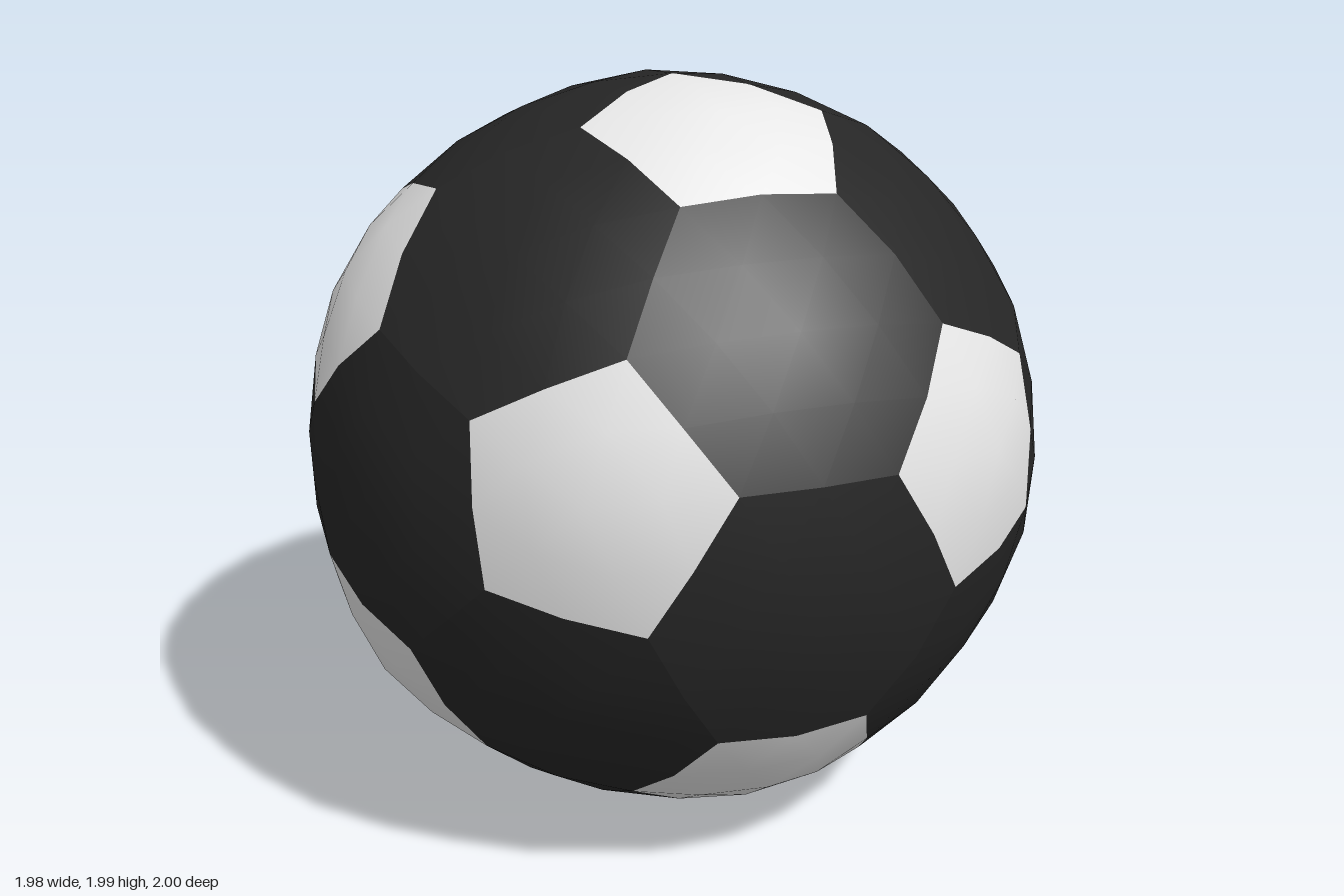
import * as THREE from 'three';
import { mergeVertices } from 'three/addons/utils/BufferGeometryUtils.js';

const CORNER_R = 0.997;   // radius at panel corners and seams
const PENT_R = 1.014;     // radius at the middle of a pentagon
const HEX_R = 0.987;      // radius at the middle of a hexagon
const STEPS = 2;          // subdivisions from panel middle to seam

// Twelve pentagon directions, turned so that one panel corner sits at the top pole
function pentagonDirections() {
  const up = new THREE.Vector3(0, 1, 0);
  const tilt = THREE.MathUtils.degToRad(20.077);
  const turn = THREE.MathUtils.degToRad(55.69);
  const first = new THREE.Vector3(
    Math.sin(tilt) * Math.cos(turn), Math.cos(tilt), Math.sin(tilt) * Math.sin(turn));
  const axis = first.clone().cross(up).normalize();
  const neighbour = first.clone().applyAxisAngle(axis, Math.atan(2));
  const half = [first];
  for (let k = 0; k < 5; k++) {
    half.push(neighbour.clone().applyAxisAngle(first, k * Math.PI * 2 / 5));
  }
  return [...half, ...half.map(v => v.clone().negate())];
}

// Panel corner: one third of the way from a towards b
const corner = (a, b) => a.clone().multiplyScalar(2).add(b).normalize();

// Sort corners counter-clockwise as seen from outside
function sortAround(centre, corners) {
  const u = corners[0].clone().addScaledVector(centre, -corners[0].dot(centre)).normalize();
  const v = centre.clone().cross(u);
  const angle = p => Math.atan2(p.dot(v), p.dot(u));
  return corners.slice().sort((p, q) => angle(p) - angle(q));
}

// Domed panel: a fan of subdivided triangles pushed out to the ball surface
function panelGeometry(centre, corners, centreR) {
  const ring = sortAround(centre, corners);
  const positions = [];
  ring.forEach((p, k) => {
    const q = ring[(k + 1) % ring.length];
    const point = (i, j) => {
      const s = i / STEPS;
      const t = i ? j / i : 0;
      const edge = p.clone().lerp(q, t);
      return centre.clone().lerp(edge, s).normalize()
        .multiplyScalar(THREE.MathUtils.lerp(centreR, CORNER_R, s));
    };
    const add = (...pts) => pts.forEach(v => positions.push(v.x, v.y, v.z));
    for (let i = 0; i < STEPS; i++) {
      for (let j = 0; j <= i; j++) {
        add(point(i, j), point(i + 1, j), point(i + 1, j + 1));
        if (j < i) add(point(i, j), point(i + 1, j + 1), point(i, j + 1));
      }
    }
  });
  let geometry = new THREE.BufferGeometry();
  geometry.setAttribute('position', new THREE.Float32BufferAttribute(positions, 3));
  geometry = mergeVertices(geometry, 1e-4);
  geometry.computeVertexNormals();
  return geometry;
}

export function createModel() {
  const white = new THREE.MeshStandardMaterial({ color: 0xf2f2f2 });
  white.name = 'white';
  const black = new THREE.MeshStandardMaterial({ color: 0x262626 });
  black.name = 'black';

  const ball = new THREE.Group();
  ball.name = 'ball';
  const addPanel = (name, centre, corners, radius, material) => {
    const mesh = new THREE.Mesh(panelGeometry(centre, corners, radius), material);
    mesh.name = name;
    ball.add(mesh);
  };

  const dirs = pentagonDirections();
  const near = (a, b) => a !== b && a.dot(b) > 0.4;

  // White pentagons
  for (const a of dirs) {
    const corners = dirs.filter(b => near(a, b)).map(b => corner(a, b));
    addPanel('pentagonPanel', a, corners, PENT_R, white);
  }

  // Black hexagons between each three neighbouring pentagons
  dirs.forEach((a, i) => dirs.forEach((b, j) => dirs.forEach((c, k) => {
    if (!(i < j && j < k && near(a, b) && near(b, c) && near(a, c))) return;
    const centre = a.clone().add(b).add(c).normalize();
    const corners = [[a, b], [b, a], [b, c], [c, b], [c, a], [a, c]].map(e => corner(...e));
    addPanel('hexagonPanel', centre, corners, HEX_R, black);
  })));

  ball.position.y = CORNER_R;
  const model = new THREE.Group();
  model.name = 'footballModel';
  model.add(ball);
  return model;
}
